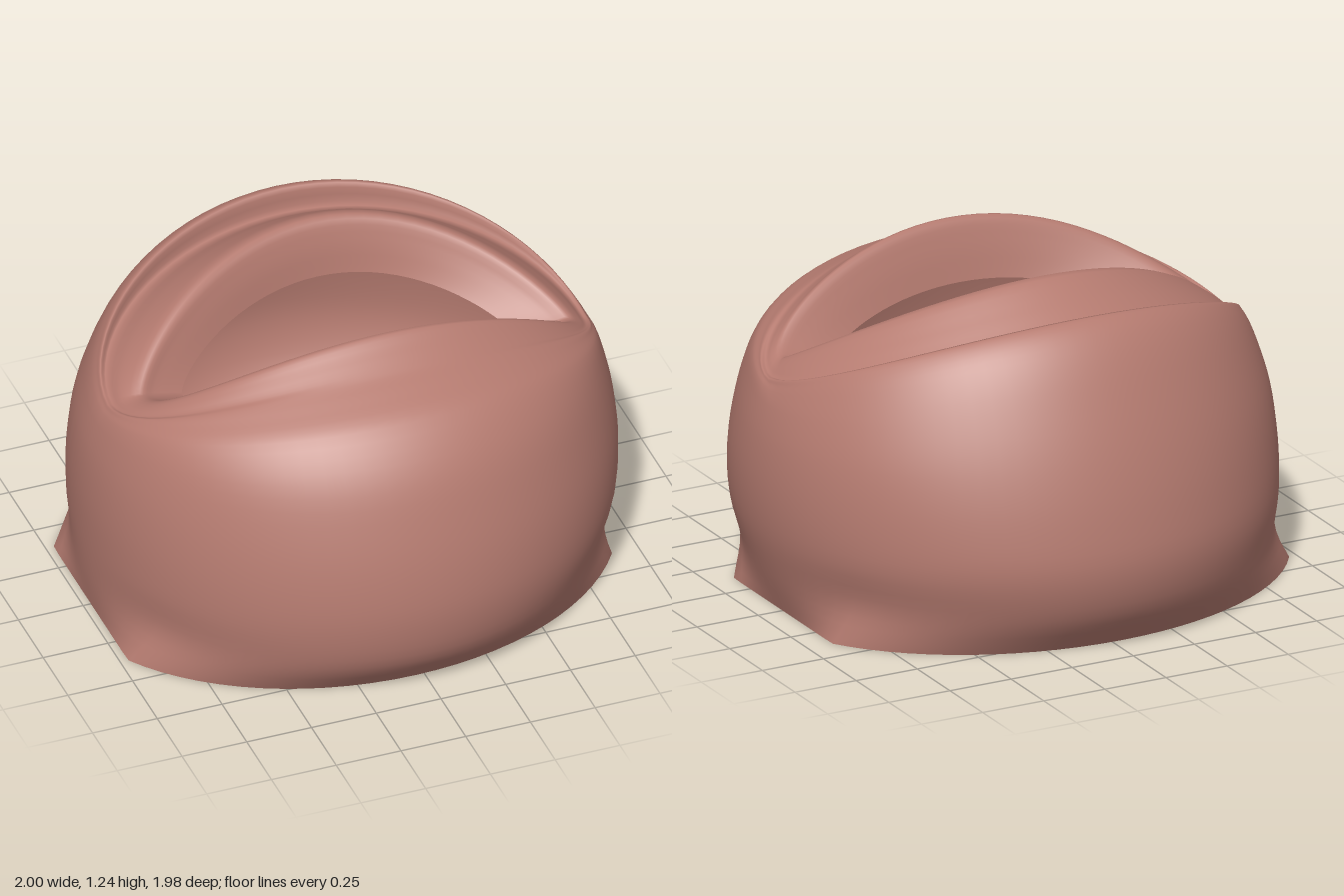
import * as THREE from 'three';

const { clamp } = THREE.MathUtils;
const SEG = 80;  // columns around the form
const SUB = 4;   // smoothing steps between neighbouring rings

// Rings from the base up over the lids and into the opening:
// [centre x, half width, corner z, corner y, front z, front y, back z, back y]
const RINGS = [
  [-0.035, 0.935, 0, 0, 0.83, 0, -0.84, 0],
  [-0.02, 0.968, 0, 0.15, 0.95, 0.15, -0.95, 0.15],
  [-0.005, 0.993, 0, 0.32, 0.988, 0.32, -0.992, 0.32],
  [0, 0.998, 0, 0.5, 0.978, 0.5, -0.972, 0.5],
  [0, 0.98, 0, 0.67, 0.93, 0.7, -0.92, 0.7],
  [0, 0.947, 0.01, 0.79, 0.85, 0.9, -0.845, 0.89],
  [0, 0.926, 0.03, 0.835, 0.73, 1.045, -0.75, 1.07],
  [0, 0.913, 0.04, 0.853, 0.62, 1.1, -0.675, 1.155],
  [0, 0.904, 0.05, 0.866, 0.55, 1.13, -0.62, 1.178],   // brow ridge
  [0, 0.888, 0.055, 0.866, 0.52, 1.147, -0.6, 1.085],  // crease under the ridge
  [0, 0.86, 0.08, 0.89, 0.46, 1.185, -0.46, 1.17],
  [0.01, 0.81, 0.1, 0.912, 0.4, 1.22, -0.325, 1.243],  // lid crest
  [0.01, 0.75, 0.085, 0.892, 0.36, 1.14, -0.285, 1.16],
  [0.005, 0.628, 0.06, 0.85, 0.32, 1.0, -0.26, 1.03],  // opening edge
];

function ringPoint(k, angle) {
  const [cx, w, cz, cy, fz, fy, bz, by] = RINGS[k];
  const c = Math.cos(angle), s = Math.sin(angle), a = Math.abs(s);
  // the base has squared-off sides; the lids rise more sharply from their corners
  const flat = k === 0 ? 1.12 : 1;
  const front = clamp((k - 5) / 5, 0, 1), back = clamp((k - 9) / 2, 0, 1);
  const [zEnd, yEnd, zBend, yBend] = s > 0
    ? [fz, fy, 1, 1.25 + 0.45 * front]
    : [bz, by, 1 + 0.5 * back, 1.35 + 0.3 * back];
  const z0 = cz + Math.min(cz, 0.05) * c;
  return new THREE.Vector3(
    cx + w * clamp(c * flat, -1, 1),
    cy + (yEnd - cy) * Math.pow(a, yBend),
    z0 + (zEnd - z0) * Math.pow(a, zBend)
  );
}

function shellGeometry() {
  const rows = (RINGS.length - 1) * SUB;
  const positions = [], index = [];
  for (let i = 0; i < SEG; i++) {
    const angle = (i / SEG) * Math.PI * 2;
    const column = new THREE.CatmullRomCurve3(RINGS.map((_, k) => ringPoint(k, angle)));
    for (let j = 0; j <= rows; j++) positions.push(...column.getPoint(j / rows).toArray());
  }
  for (let i = 0; i < SEG; i++) {
    for (let j = 0; j < rows; j++) {
      const a = i * (rows + 1) + j, b = ((i + 1) % SEG) * (rows + 1) + j;
      index.push(a, a + 1, b, b, a + 1, b + 1);
    }
  }
  const g = new THREE.BufferGeometry();
  g.setAttribute('position', new THREE.Float32BufferAttribute(positions, 3));
  g.setIndex(index);
  g.computeVertexNormals();
  return g;
}

// Flat underside following the lowest ring
function baseGeometry() {
  const outline = [];
  for (let i = 0; i < SEG; i++) {
    const p = ringPoint(0, (i / SEG) * Math.PI * 2);
    outline.push(new THREE.Vector2(p.x, p.z));
  }
  return new THREE.ShapeGeometry(new THREE.Shape(outline)).rotateX(Math.PI / 2);
}

export function createModel() {
  const skin = new THREE.MeshStandardMaterial({ color: 0xb57b70, side: THREE.DoubleSide });
  skin.name = 'skin';
  const group = new THREE.Group();
  group.name = 'eyelids';

  const add = (name, geometry) => {
    const mesh = new THREE.Mesh(geometry, skin);
    mesh.name = name;
    group.add(mesh);
    return mesh;
  };
  add('lidShell', shellGeometry());
  add('base', baseGeometry());

  // Small fold in the inner corner
  const fold = add('innerCornerFold', new THREE.SphereGeometry(1, 20, 12));
  fold.scale.set(0.08, 0.025, 0.03);
  fold.position.set(0.72, 0.878, 0.135);
  fold.rotation.set(0, -0.4, 0.3);
  return group;
}
